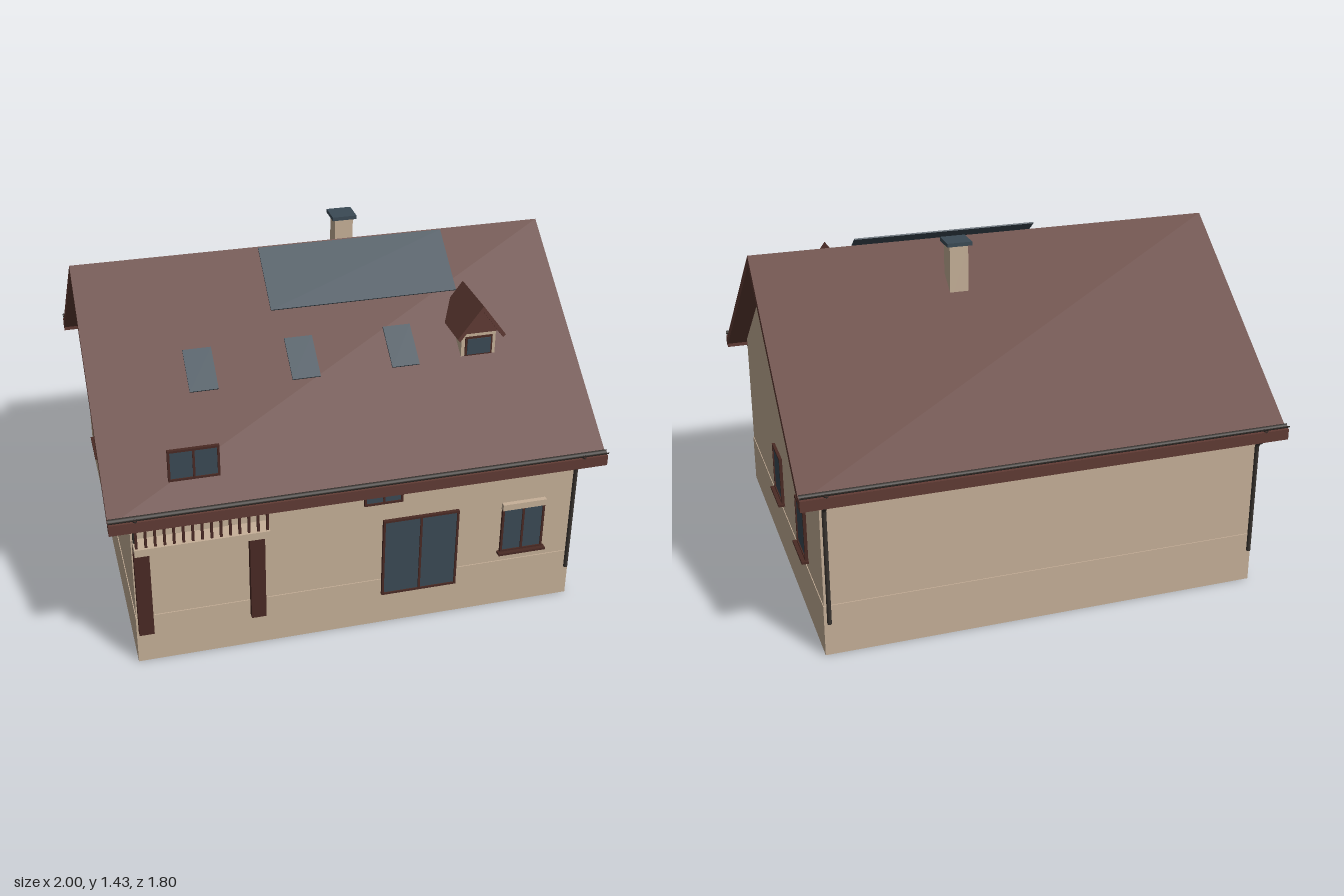
import * as THREE from 'three';

const mat = (name, color, side = THREE.FrontSide) => {
  const m = new THREE.MeshStandardMaterial({ color, side });
  m.name = name;
  return m;
};

export function createModel() {
  const plaster = mat('plaster', 0xc6b098);
  const tile = mat('roof tile', 0x603b34);
  const wood = mat('dark wood', 0x4a2a24);
  const glass = mat('glass', 0x3b4a55);
  const metal = mat('dark metal', 0x38332f, THREE.DoubleSide);

  const house = new THREE.Group();
  house.name = 'house';

  const add = (parent, name, geometry, material) => {
    const mesh = new THREE.Mesh(geometry, material);
    mesh.name = name;
    parent.add(mesh);
    return mesh;
  };
  // Box given by its extents on each axis
  const box = (parent, name, material, x0, x1, y0, y1, z0, z1) => {
    const g = new THREE.BoxGeometry(x1 - x0, y1 - y0, z1 - z0);
    g.translate((x0 + x1) / 2, (y0 + y1) / 2, (z0 + z1) / 2);
    return add(parent, name, g, material);
  };
  const extrude = (points, depth) => new THREE.ExtrudeGeometry(
    new THREE.Shape(points.map(([a, b]) => new THREE.Vector2(a, b))),
    { depth, bevelEnabled: false });
  // Symmetric cross-section in z and y, extruded along x
  const alongX = (points, halfLength) =>
    extrude(points, 2 * halfLength).translate(0, 0, -halfLength).rotateY(Math.PI / 2);

  // Walls and plinth (the plinth has a dark underside)
  add(house, 'walls', alongX(
    [[-0.805, 0.2], [0.805, 0.2], [0.805, 0.73], [0, 1.35], [-0.805, 0.73]], 0.915), plaster);
  box(house, 'plinth', [plaster, plaster, plaster, metal, plaster, plaster],
    -0.918, 0.918, 0, 0.22, -0.809, 0.809);

  // Main roof
  add(house, 'roof', alongX(
    [[0, 1.39], [-0.88, 0.715], [-0.86, 0.69], [0, 1.35], [0.86, 0.69], [0.88, 0.715]], 1), tile);

  // Eaves boards, gutters and downpipes on both long sides
  for (const s of [1, -1]) {
    const eaves = new THREE.Group();
    eaves.name = s > 0 ? 'frontEaves' : 'backEaves';
    house.add(eaves);
    const board = add(eaves, 'eavesBoard', new THREE.BoxGeometry(2, 0.045, 0.045), tile);
    board.position.set(0, 0.705, s * 0.871);
    const gutter = add(eaves, 'gutter', new THREE.CylinderGeometry(
      0.013, 0.013, 2, 10, 1, true, Math.PI, Math.PI).rotateZ(Math.PI / 2), metal);
    gutter.position.set(0, 0.746, s * 0.887);
    for (const x of [-0.9, 0.9]) {
      const path = new THREE.CurvePath();
      const pts = [[0.735, 0.887], [0.68, 0.875], [0.65, 0.826], [0.15, 0.826]]
        .map(([y, z]) => new THREE.Vector3(x, y, s * z));
      for (let i = 0; i < 3; i++) path.add(new THREE.LineCurve3(pts[i], pts[i + 1]));
      add(eaves, 'downpipe', new THREE.TubeGeometry(path, 24, 0.009, 8), metal);
    }
  }

  // Framed window facing +z, with its base centre at the origin
  const windowUnit = (name, w, h, panes, sill) => {
    const g = new THREE.Group();
    g.name = name;
    house.add(g);
    const t = 0.009;
    box(g, 'glass', glass, -w / 2 + t, w / 2 - t, t, h - t, 0, 0.009);
    box(g, 'frameBottom', wood, -w / 2, w / 2, 0, t, 0, 0.014);
    box(g, 'frameTop', wood, -w / 2, w / 2, h - t, h, 0, 0.014);
    for (let i = 0; i <= panes; i++) {
      const x = -w / 2 + t / 2 + (i * (w - t)) / panes;
      box(g, 'frameUpright', wood, x - t / 2, x + t / 2, t, h - t, 0, 0.014);
    }
    if (sill) box(g, 'sill', wood, -w / 2 - 0.01, w / 2 + 0.01, -0.008, 0.002, 0, 0.03);
    return g;
  };

  // Gable windows, the same on both sides
  for (const s of [1, -1]) for (const z of [0.075, -0.435]) {
    const win = windowUnit('gableWindow', 0.172, 0.215, 1, true);
    win.position.set(s * 0.914, 0.262, z);
    win.rotation.y = s * Math.PI / 2;
  }
  // Front openings
  windowUnit('terraceDoor', 0.32, 0.365, 2, false).position.set(0.25, 0.148, 0.808);
  windowUnit('frontWindow', 0.185, 0.215, 2, true).position.set(0.692, 0.27, 0.804);
  box(house, 'shutterBox', plaster, 0.598, 0.786, 0.48, 0.508, 0.8, 0.825);
  windowUnit('upperWindow', 0.16, 0.1, 2, false).position.set(0.09, 0.595, 0.804);
  windowUnit('balconyRoofWindow', 0.2, 0.135, 2, false).position.set(-0.652, 0.807, 0.76);

  // Balcony with posts, balusters and handrail
  const balcony = new THREE.Group();
  balcony.name = 'balcony';
  house.add(balcony);
  box(balcony, 'balconyFloor', plaster, -0.91, -0.385, 0.56, 0.592, 0.8, 0.88);
  box(balcony, 'handrail', wood, -0.91, -0.385, 0.685, 0.697, 0.858, 0.874);
  for (let i = 0; i < 15; i++) {
    const x = -0.9 + i * 0.0362;
    box(balcony, 'baluster', wood, x - 0.005, x + 0.005, 0.59, 0.69, 0.861, 0.871);
  }
  for (const x of [-0.88, -0.427])
    box(balcony, 'balconyPost', wood, x - 0.03, x + 0.03, 0.148, 0.56, 0.8, 0.835);

  // Raised sheets parallel to the front slope, given by upper and lower edges
  const slopeSheet = (name, x0, x1, yTop, zTop, yLow, zLow) => {
    const length = Math.hypot(yTop - yLow, zLow - zTop);
    const sheet = add(house, name, new THREE.BoxGeometry(x1 - x0, 0.006, length), glass);
    sheet.position.set((x0 + x1) / 2, (yTop + yLow) / 2, (zTop + zLow) / 2);
    sheet.rotation.x = Math.atan2(yTop - yLow, zLow - zTop);
  };
  slopeSheet('solarPanel', -0.235, 0.55, 1.403, 0.043, 1.227, 0.27);
  for (const x of [-0.56, -0.15, 0.26])
    slopeSheet('skylight', x - 0.057, x + 0.057, 1.15, 0.377, 1.04, 0.522);

  // Dormer: cheeks, gable, little pitched roof and window
  const dormer = new THREE.Group();
  dormer.name = 'dormer';
  dormer.position.x = 0.582;
  house.add(dormer);
  box(dormer, 'dormerBody', plaster, -0.073, 0.073, 1.02, 1.135, 0.26, 0.475);
  add(dormer, 'dormerGable',
    extrude([[-0.09, 1.13], [0.09, 1.13], [0, 1.25]], 0.215).translate(0, 0, 0.27), tile);
  add(dormer, 'dormerRoof', extrude(
    [[0, 1.26], [-0.103, 1.122], [-0.092, 1.11], [0, 1.235], [0.092, 1.11], [0.103, 1.122]],
    0.25).translate(0, 0, 0.26), tile);
  box(dormer, 'dormerWindowFrame', wood, -0.058, 0.058, 1.028, 1.112, 0.474, 0.481);
  box(dormer, 'dormerWindowGlass', glass, -0.05, 0.05, 1.035, 1.104, 0.48, 0.485);

  // Chimney
  box(house, 'chimney', plaster, 0.142, 0.22, 1.18, 1.416, -0.22, -0.14);
  box(house, 'chimneyCap', glass, 0.128, 0.233, 1.416, 1.432, -0.23, -0.127);

  return house;
}
